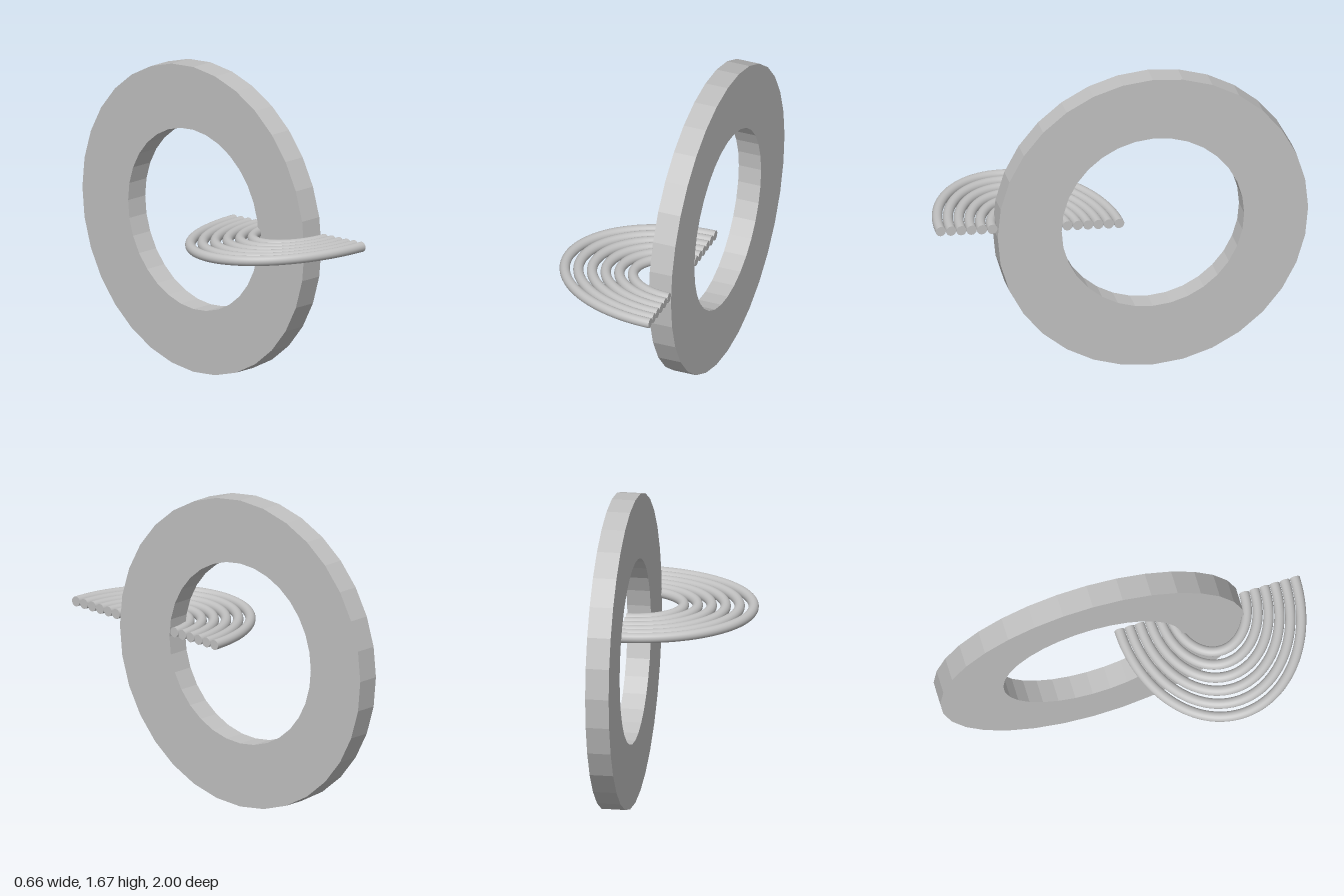
import * as THREE from 'three';

// Half ellipse lying in the xz plane, opening toward +x
class HalfEllipse extends THREE.Curve {
  constructor(rx, rz) {
    super();
    this.rx = rx;
    this.rz = rz;
  }
  getPoint(t, target = new THREE.Vector3()) {
    const a = Math.PI * t;
    return target.set(-this.rx * Math.sin(a), 0, this.rz * Math.cos(a));
  }
}

export function createModel() {
  const group = new THREE.Group();
  const grey = new THREE.MeshStandardMaterial({ color: 0xc0c0c0 });
  grey.name = 'light grey';

  // Upright faceted ring with a flat rectangular section
  const outline = new THREE.Shape().absarc(0, 0, 0.8335, 0, Math.PI * 2);
  outline.holes.push(new THREE.Path().absarc(0, 0, 0.49, 0, Math.PI * 2, true));
  const ringGeometry = new THREE.ExtrudeGeometry(outline, { depth: 0.125, bevelEnabled: false, curveSegments: 16 });
  const ring = new THREE.Mesh(ringGeometry, grey);
  ring.name = 'ring';
  ring.rotation.y = Math.PI / 2;
  ring.position.set(0.207, 0.8345, -0.1665);
  group.add(ring);

  // Slightly tilted fan of nested half-ellipse rods
  const fan = new THREE.Group();
  fan.name = 'rodFan';
  fan.position.set(0.332, 0.876, 0.493);
  fan.rotation.x = -0.06;
  group.add(fan);

  const rodRadius = 0.027;
  for (let i = 0; i < 6; i++) {
    const rz = 0.48 - i * 0.0555;
    const rod = new THREE.Mesh(new THREE.TubeGeometry(new HalfEllipse(rz * 1.327, rz), 64, rodRadius, 20), grey);
    rod.name = `rod${i + 1}`;
    fan.add(rod);
    // Flat ends of the rod
    for (const side of [-1, 1]) {
      const cap = new THREE.Mesh(new THREE.CircleGeometry(rodRadius, 20), grey);
      cap.name = 'rodEnd';
      cap.rotation.y = Math.PI / 2;
      cap.position.z = side * rz;
      rod.add(cap);
    }
  }
  return group;
}
